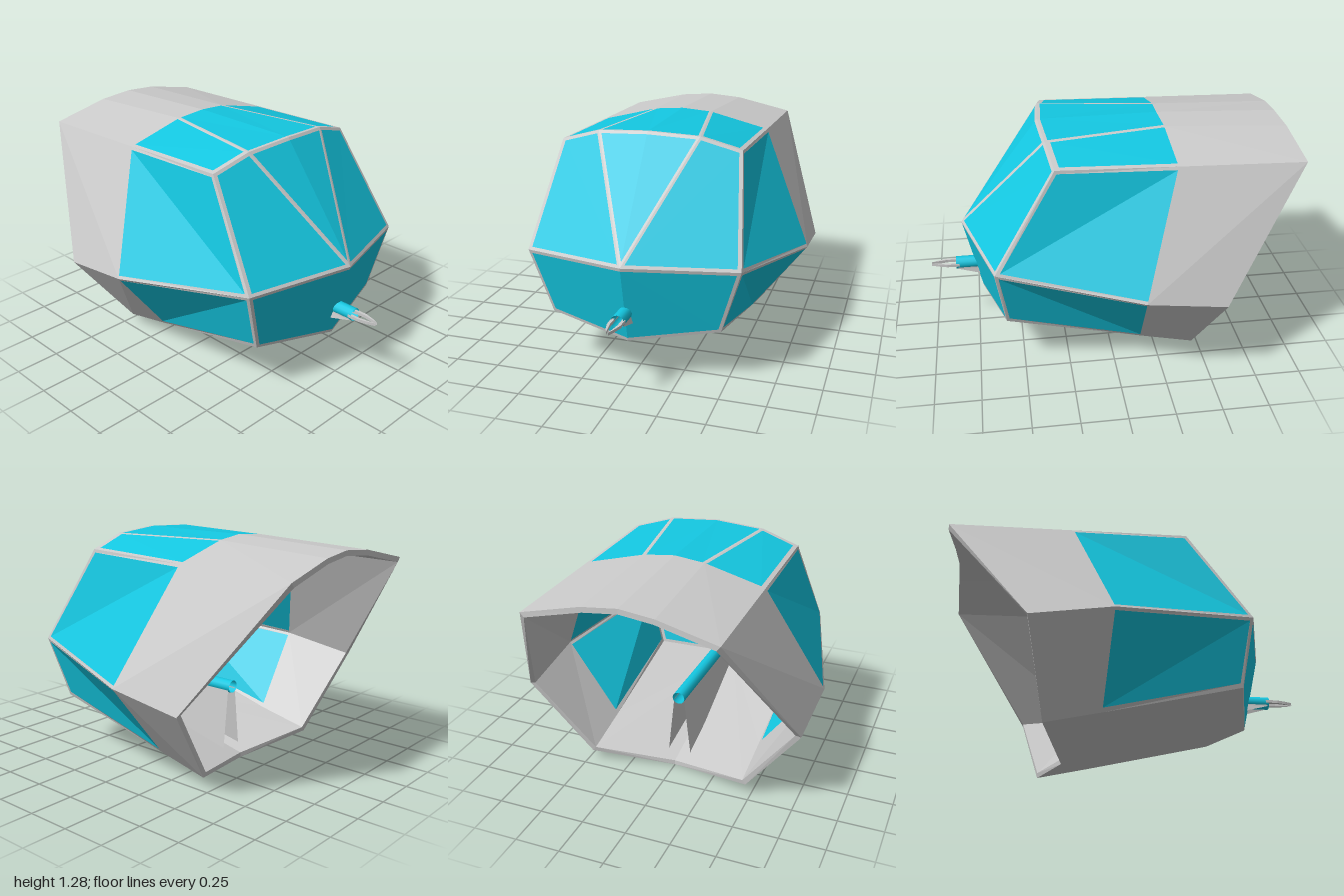
import * as THREE from 'three';

const GREY = new THREE.MeshStandardMaterial({ color: 0xcccccc, flatShading: true });
const THIN = new THREE.MeshStandardMaterial({ color: 0xcccccc, flatShading: true, side: THREE.DoubleSide });
const GLASS = new THREE.MeshStandardMaterial({ color: 0x14c8e2, flatShading: true });
const TUBE = new THREE.MeshStandardMaterial({ color: 0x14c8e2, side: THREE.DoubleSide });
const CENTRE = new THREE.Vector3(0, 0.65, 0.1);
const v = (x, y, z) => new THREE.Vector3(x, y, z);

// Corner points of the left half of the hull
const P = {
  nose: v(0, 0.68, 0.81), cheek: v(0.58, 0.66, 0.64),
  chin: v(0, 0.24, 0.71), chinSide: v(0.47, 0.3, 0.59),
  brow: v(0, 1.28, 0.36), browMid: v(0.28, 1.265, 0.34), browSide: v(0.5, 1.2, 0.31),
  roof: v(0, 1.285, -0.3), roofMid: v(0.17, 1.27, -0.31), roofSide: v(0.505, 1.185, -0.32),
  tail: v(0, 1.26, -0.975), tailMid: v(0.19, 1.243, -0.985), tailSide: v(0.51, 1.17, -1),
  hip: v(0.8, 0.56, -0.12), hipBack: v(0.79, 0.5, -0.55),
  keel: v(0, 0, -0.33), keelSide: v(0.47, 0.06, -0.45), sill: v(0.47, 0.127, -0.15),
};

// Inner skin: the same corners pulled in by the wall thickness
const inner = (p) => v(p.x * 0.96, 0.62 + (p.y - 0.62) * 0.955, p.z > 0.2 ? p.z - 0.03 : p.z);

// Adds a polygon as a fan of triangles that face away from the centre (or towards it)
function addPolygon(out, pts, inward) {
  for (let i = 1; i < pts.length - 1; i++) {
    const [a, b, c] = [pts[0], pts[i], pts[i + 1]];
    const n = b.clone().sub(a).cross(c.clone().sub(a));
    const mid = a.clone().add(b).add(c).divideScalar(3).sub(CENTRE);
    const tri = (n.dot(mid) > 0) !== inward ? [a, b, c] : [a, c, b];
    tri.forEach((p) => out.push(p.x, p.y, p.z));
  }
}

// Moves each edge i (from corner i to i+1) of a polygon inwards by widths[i]
function inset(pts, widths) {
  const n = pts.length;
  return pts.map((p, i) => {
    const j = (i + n - 1) % n;
    const next = pts[(i + 1) % n].clone().sub(p).normalize();
    const prev = pts[j].clone().sub(p).normalize();
    const s = next.clone().cross(prev).length();
    return p.clone().addScaledVector(next, widths[j] / s).addScaledVector(prev, widths[i] / s);
  });
}

function meshOf(name, positions, material) {
  const g = new THREE.BufferGeometry();
  g.setAttribute('position', new THREE.Float32BufferAttribute(positions, 3));
  g.computeVertexNormals();
  const m = new THREE.Mesh(g, material);
  m.name = name;
  return m;
}

// Both skins on both sides of the hull
function eachSkin(names, fn) {
  for (const side of [1, -1]) {
    for (const inward of [false, true]) {
      fn(names.map((k) => {
        const p = inward ? inner(P[k]) : P[k].clone();
        p.x *= side;
        return p;
      }), inward);
    }
  }
}

export function createModel() {
  const model = new THREE.Group();

  // Window panels: corner names, then the frame width along each edge
  const w = 0.018, d = 0.012;
  const windows = {
    frontUpperWindow: [['nose', 'cheek', 'browSide', 'browMid'], [w, 0.02, w, d]],
    frontCentreWindow: [['nose', 'browMid', 'brow'], [d, w, 0]],
    frontLowerWindow: [['nose', 'cheek', 'chinSide', 'chin'], [w, w, w, 0]],
    sideUpperWindow: [['cheek', 'hip', 'roofSide', 'browSide'], [w, 0, w, w]],
    sideLowerWindow: [['cheek', 'hip', 'sill', 'chinSide'], [w, 0, 0.025, w]],
    roofCentreWindow: [['brow', 'browMid', 'roofMid', 'roof'], [w, d, 0, 0]],
    roofSideWindow: [['browMid', 'browSide', 'roofSide', 'roofMid'], [0.028, 0.025, 0, d]],
  };
  const frame = [];
  for (const [name, [corners, widths]] of Object.entries(windows)) {
    const pane = [];
    eachSkin(corners, (pts, inward) => {
      const hole = inset(pts, widths);
      addPolygon(pane, hole, inward);
      pts.forEach((p, i) => {
        const k = (i + 1) % pts.length;
        if (widths[i] > 0) addPolygon(frame, [p, pts[k], hole[k], hole[i]], inward);
      });
    });
    model.add(meshOf(name, pane, GLASS));
  }
  model.add(meshOf('windowFrame', frame, GREY));

  // Solid hull panels
  const panels = {
    rearSidePanel: ['hip', 'hipBack', 'tailSide', 'roofSide'],
    rearLowerPanel: ['hip', 'hipBack', 'keelSide', 'sill'],
    rearRoofSide: ['roofMid', 'roofSide', 'tailSide', 'tailMid'],
    rearRoofCentre: ['roof', 'roofMid', 'tailMid', 'tail'],
    floor: ['chin', 'chinSide', 'sill', 'keelSide', 'keel'],
  };
  for (const [name, corners] of Object.entries(panels)) {
    const faces = [];
    eachSkin(corners, (pts, inward) => addPolygon(faces, pts, inward));
    model.add(meshOf(name, faces, GREY));
  }

  // Rim closing the wall thickness around the rear opening
  const rim = [];
  const loop = ['keel', 'keelSide', 'hipBack', 'tailSide', 'tailMid', 'tail'].map((k) => P[k]);
  for (const side of [1, -1]) {
    for (let i = 0; i < loop.length - 1; i++) {
      const [a, b] = [loop[i], loop[i + 1]];
      const quad = [a.clone(), b.clone(), inner(b), inner(a)];
      quad.forEach((p) => { p.x *= side; });
      addPolygon(rim, quad, false);
    }
  }
  model.add(meshOf('rearRim', rim, THIN));

  // Barrel running from the cabin out through the nose
  const gun = new THREE.Group();
  gun.name = 'gun';
  const barrel = new THREE.Mesh(new THREE.CylinderGeometry(0.036, 0.036, 1.13, 12, 1, true), TUBE);
  barrel.name = 'barrel';
  barrel.rotation.x = Math.PI / 2;
  barrel.position.set(0, 0.412, 0.295);
  gun.add(barrel);

  // Curved prong at the muzzle, drawn in plan
  const prong = new THREE.Shape([[0.02, 0.84], [0.038, 0.84], [0.036, 0.91], [0.022, 0.96],
    [0.006, 1], [0.014, 0.95], [0.02, 0.91]].map(([x, z]) => new THREE.Vector2(x, z)));
  const prongGeo = new THREE.ExtrudeGeometry(prong, { depth: 0.016, bevelEnabled: false });
  prongGeo.rotateX(Math.PI / 2).translate(0, 0.42, 0);

  for (const side of [1, -1]) {
    const claw = new THREE.Mesh(prongGeo, GREY);
    claw.name = 'muzzleProng';
    claw.scale.x = side;
    gun.add(claw);

    // Leaning support plate between barrel and floor
    const plate = [];
    addPolygon(plate, [v(side * 0.03, 0.4, -0.26), v(side * 0.03, 0.4, 0.85),
      v(side * 0.03, 0.385, 0.85), v(side * 0.035, 0.355, 0.74), v(side * 0.07, 0.03, -0.26)], false);
    gun.add(meshOf('barrelSupport', plate, THIN));
  }
  model.add(gun);
  return model;
}
